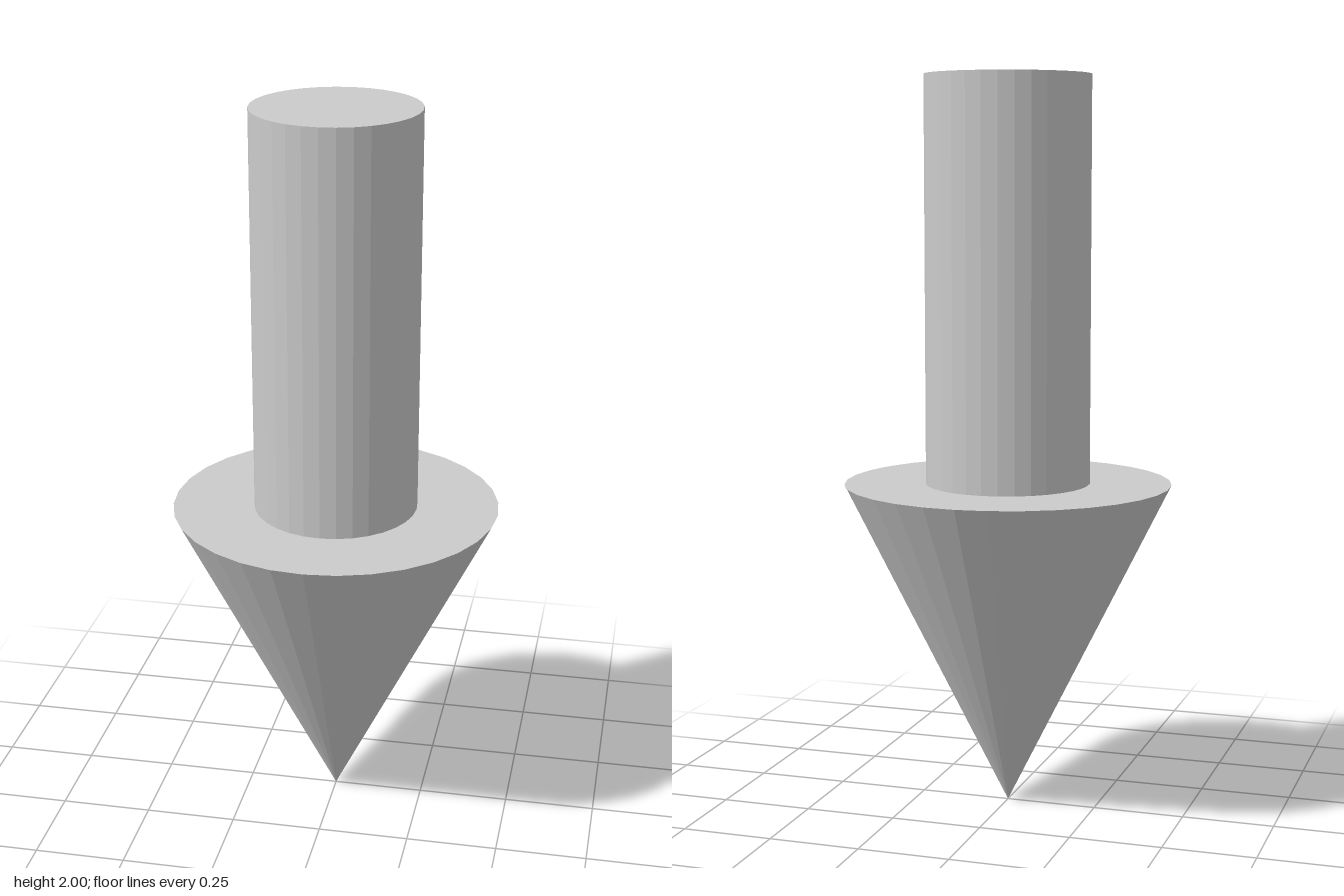
import * as THREE from 'three';

const SIDES = 32;
const HEAD_HEIGHT = 0.9;
const TOTAL_HEIGHT = 2;

export function createModel() {
  const group = new THREE.Group();
  group.name = 'downArrow';
  const material = new THREE.MeshStandardMaterial({ color: 0xcccccc, flatShading: true });

  // Arrowhead: closed cone with its tip on the ground
  const headGeometry = new THREE.ConeGeometry(0.447, HEAD_HEIGHT, SIDES);
  headGeometry.rotateX(Math.PI).translate(0, HEAD_HEIGHT / 2, 0);
  const head = new THREE.Mesh(headGeometry, material);
  head.name = 'arrowHead';

  // Shaft: closed, very slightly oval cylinder standing on the head
  const shaftHeight = TOTAL_HEIGHT - HEAD_HEIGHT;
  const shaftGeometry = new THREE.CylinderGeometry(1, 1, shaftHeight, SIDES);
  shaftGeometry.scale(0.224, 1, 0.231).translate(0, HEAD_HEIGHT + shaftHeight / 2, 0);
  const shaft = new THREE.Mesh(shaftGeometry, material);
  shaft.name = 'arrowShaft';

  group.add(head, shaft);
  return group;
}
